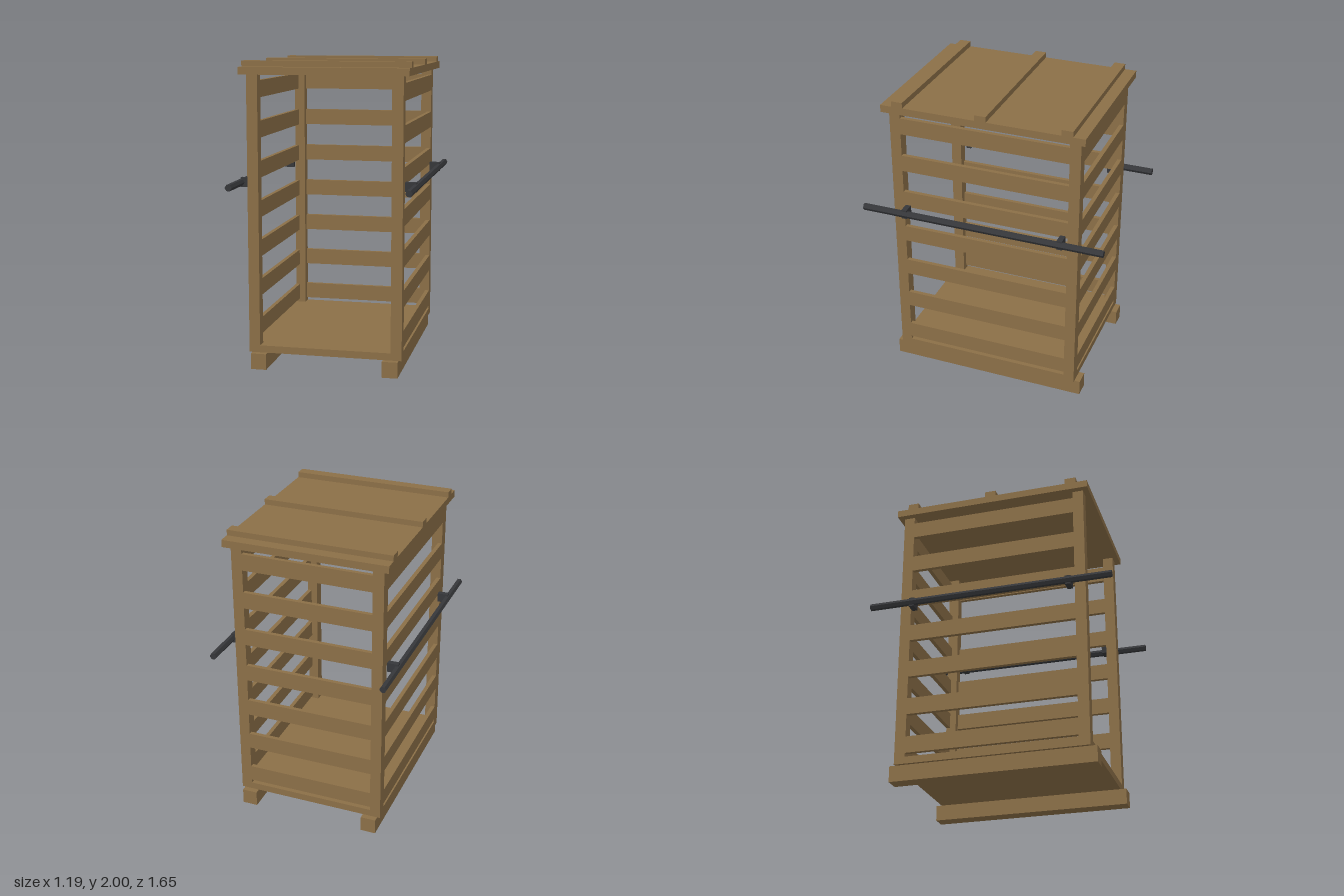
import * as THREE from 'three';

export function createModel() {
  const model = new THREE.Group();
  model.name = 'slattedCrate';

  const wood = new THREE.MeshStandardMaterial({ color: 0x8b6f47 });
  wood.name = 'wood';
  const iron = new THREE.MeshStandardMaterial({ color: 0x36373a });
  iron.name = 'darkIron';

  // Box given by its low and high corner on each axis
  function box(name, material, [x0, x1], [y0, y1], [z0, z1]) {
    const mesh = new THREE.Mesh(new THREE.BoxGeometry(x1 - x0, y1 - y0, z1 - z0), material);
    mesh.position.set((x0 + x1) / 2, (y0 + y1) / 2, (z0 + z1) / 2);
    mesh.name = name;
    model.add(mesh);
  }
  // Range mirrored to the given side
  const side = (s, a, b) => (s > 0 ? [a, b] : [-b, -a]);

  const W = 0.505, D = 0.637, POST = 0.072, SLAT = 0.028;
  const inW = W - POST, inD = D - POST;

  // Floor
  box('floor', wood, [-W, W], [0.105, 0.152], [-D, D]);

  // Roof panel and its three battens
  box('roof', wood, [-0.547, 0.547], [1.915, 1.963], [-0.675, 0.675]);
  for (const z of [-0.56, 0, 0.56]) {
    box('roofBatten', wood, [-0.547, 0.547], [1.963, 2], [z - 0.037, z + 0.037]);
  }

  for (const s of [-1, 1]) {
    // Ground runner
    box('runner', wood, side(s, 0.383, 0.485), [0, 0.105], [-0.675, 0.675]);

    // Corner posts
    for (const t of [-1, 1]) {
      box('cornerPost', wood, side(s, inW, W), [0.152, 1.915], side(t, inD, D));
    }

    // Hexagonal carrying pole
    const pole = new THREE.Mesh(
      new THREE.CylinderGeometry(0.023, 0.023, 1.65, 6).toNonIndexed(), iron);
    pole.geometry.rotateY(Math.PI / 2);
    pole.geometry.rotateX(Math.PI / 2);
    pole.geometry.computeVertexNormals();
    pole.position.set(s * 0.573, 1.214, 0);
    pole.name = 'carryingPole';
    model.add(pole);

    // Pole brackets
    for (const z of [-0.535, 0.535]) {
      box('poleBracket', iron, side(s, W, 0.578), [1.183, 1.245], [z - 0.018, z + 0.018]);
    }
  }

  // Slats on both sides and the back; the front stays open
  for (let i = 0; i < 7; i++) {
    const y = 0.177 + i * 0.2635;
    const height = [y, y + 0.111];
    for (const s of [-1, 1]) {
      box('sideSlat', wood, side(s, W - SLAT, W), height, [-inD, inD]);
    }
    box('backSlat', wood, [-inW, inW], height, [-D, -D + SLAT]);
  }

  return model;
}
